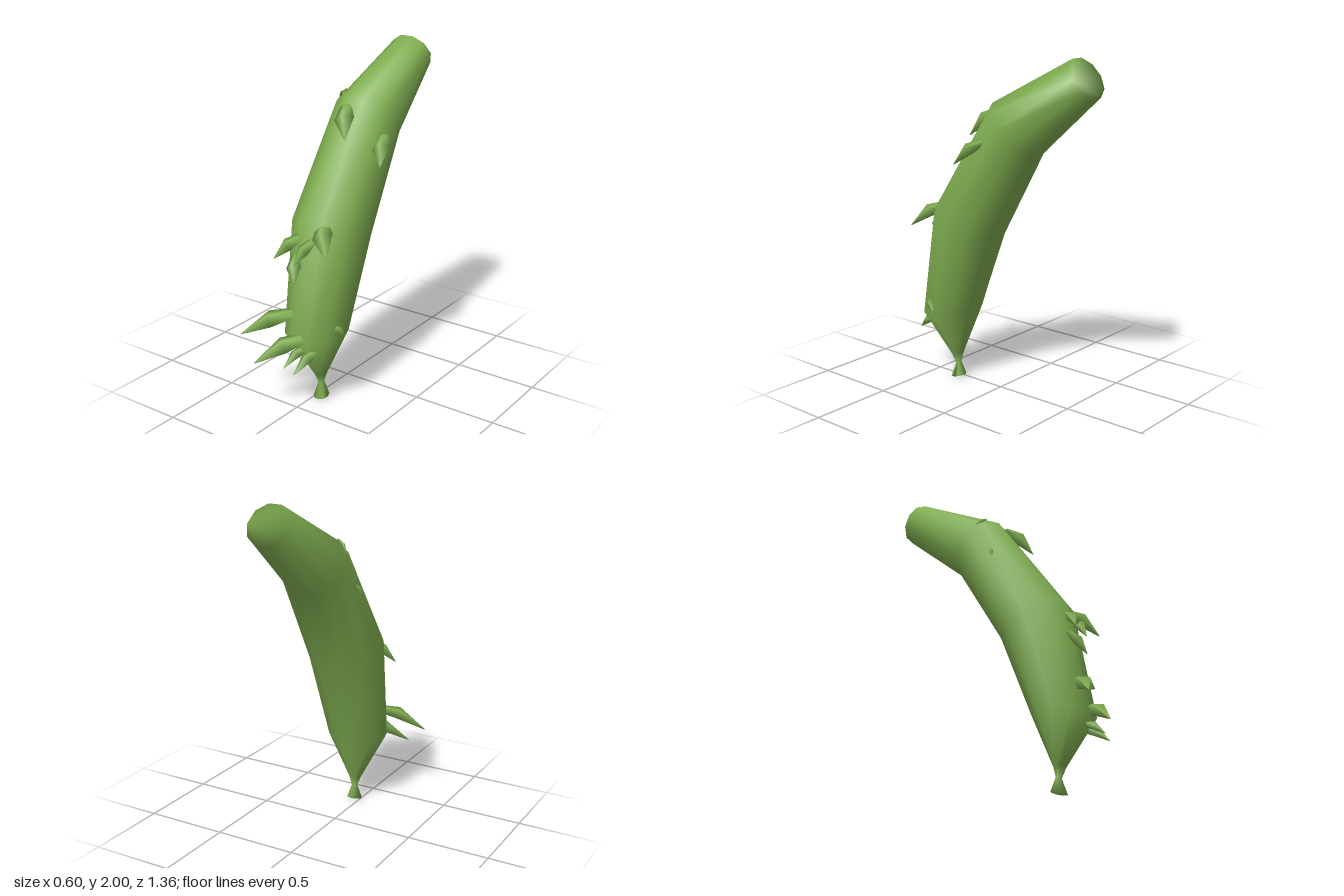
import * as THREE from 'three';

const green = new THREE.MeshStandardMaterial({ color: 0x7fad50 });
green.name = 'leaf green';

// Skin a list of equal rings of points, closing both ends
function loft(name, rings) {
  const n = rings[0].length, pos = [], idx = [];
  rings.forEach(r => r.forEach(p => pos.push(p.x, p.y, p.z)));
  for (let k = 0; k < rings.length - 1; k++) {
    for (let i = 0; i < n; i++) {
      const a = k * n + i, b = k * n + (i + 1) % n;
      idx.push(a, a + n, b, b, a + n, b + n);
    }
  }
  const top = (rings.length - 1) * n;
  for (let i = 1; i < n - 1; i++) {
    idx.push(0, i, i + 1);
    idx.push(top, top + i + 1, top + i);
  }
  const g = new THREE.BufferGeometry();
  g.setAttribute('position', new THREE.Float32BufferAttribute(pos, 3));
  g.setIndex(idx);
  g.computeVertexNormals();
  const m = new THREE.Mesh(g, green);
  m.name = name;
  return m;
}

// Ten-sided stalk ring between a front and a back edge point
function stalkRing([fz, fy, bz, by, w]) {
  const ring = [];
  for (let i = 0; i < 10; i++) {
    const a = i * Math.PI / 5, s = Math.sin(a) / 0.951 / 2;
    ring.push(new THREE.Vector3(0.034 + w * Math.cos(a),
      (fy + by) / 2 + (fy - by) * s, (fz + bz) / 2 + (fz - bz) * s));
  }
  return ring;
}

// Pointed four-sided thorn that swells and arches before its tip
function thorn(name, base, tip, width) {
  const b = new THREE.Vector3(...base), t = new THREE.Vector3(...tip);
  const d = t.clone().sub(b), len = d.length();
  d.normalize();
  const up = new THREE.Vector3(0, 0.8, 0.6);
  up.addScaledVector(d, -up.dot(d)).normalize();
  const side = new THREE.Vector3().crossVectors(d, up);
  const rings = [[-0.15, 0.55, 0], [0.35, 1, 0.1], [1, 0.06, 0]].map(([f, r, lift]) => {
    const c = b.clone().addScaledVector(d, f * len).addScaledVector(up, lift * len);
    return [0, 1, 2, 3].map(i => c.clone()
      .addScaledVector(side, Math.cos(i * Math.PI / 2) * r * width)
      .addScaledVector(up, Math.sin(i * Math.PI / 2) * r * width * 0.65));
  });
  return loft(name, rings);
}

export function createModel() {
  const group = new THREE.Group();
  group.name = 'thornyStalk';

  // Bent stalk: front z, front y, back z, back y, half width
  group.add(loft('stalk', [
    [0.355, 0.0, 0.265, 0.02, 0.046],
    [0.325, 0.09, 0.295, 0.1, 0.018],
    [0.35, 0.15, 0.283, 0.16, 0.04],
    [0.52, 0.42, 0.18, 0.45, 0.184],
    [0.40, 1.10, 0.0, 0.95, 0.228],
    [-0.02, 1.73, -0.29, 1.46, 0.2],
    [-0.55, 2.0, -0.68, 1.8, 0.13],
  ].map(stalkRing)));

  // Thorns: base, tip, half width
  [
    [[-0.06, 0.56, 0.48], [-0.30, 0.43, 0.62], 0.06],
    [[0.04, 0.44, 0.50], [-0.16, 0.31, 0.68], 0.06],
    [[0.03, 0.37, 0.47], [-0.01, 0.29, 0.60], 0.035],
    [[0.10, 0.36, 0.45], [0.06, 0.27, 0.60], 0.04],
    [[-0.04, 1.00, 0.42], [-0.145, 0.89, 0.50], 0.05],
    [[0.06, 1.00, 0.42], [0.0, 0.88, 0.51], 0.045],
    [[-0.05, 0.88, 0.43], [0.0, 0.77, 0.51], 0.045],
    [[0.10, 1.08, 0.37], [0.22, 0.97, 0.51], 0.06],
    [[0.01, 1.66, 0.03], [0.09, 1.53, 0.155], 0.06],
    [[0.22, 1.51, -0.03], [0.29, 1.395, 0.10], 0.055],
    [[0.185, 0.52, 0.39], [0.225, 0.46, 0.34], 0.035],
    [[-0.08, 1.74, -0.09], [-0.145, 1.68, -0.12], 0.015],
    [[-0.15, 1.48, -0.02], [-0.172, 1.43, 0.0], 0.02],
  ].forEach(([b, t, w], i) => group.add(thorn('thorn' + (i + 1), b, t, w)));

  return group;
}
